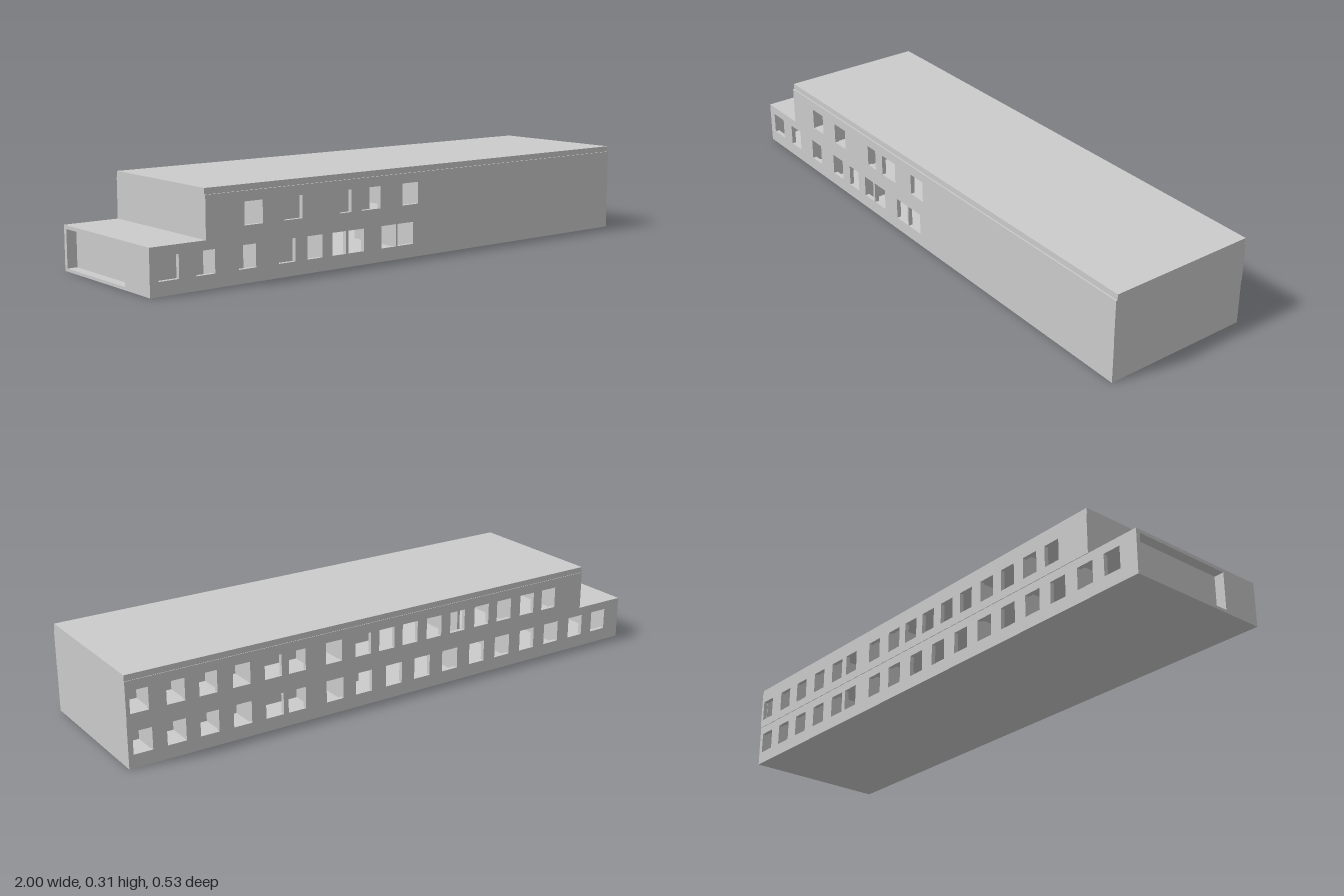
import * as THREE from 'three';

const material = new THREE.MeshStandardMaterial({ color: 0xcccccc, flatShading: true });
const T = 0.015; // wall thickness

// Box given by its two corners
function block(group, name, x0, x1, y0, y1, z0, z1) {
  const mesh = new THREE.Mesh(new THREE.BoxGeometry(x1 - x0, y1 - y0, z1 - z0), material);
  mesh.position.set((x0 + x1) / 2, (y0 + y1) / 2, (z0 + z1) / 2);
  mesh.name = name;
  group.add(mesh);
}

// Long wall with a row of window openings, each [x start, x end]
function windowWall(group, name, x0, x1, y0, y1, z, sill, head, windows) {
  const shape = new THREE.Shape();
  shape.moveTo(x0, y0).lineTo(x1, y0).lineTo(x1, y1).lineTo(x0, y1).closePath();
  for (const [a, b] of windows) {
    const hole = new THREE.Path();
    hole.moveTo(a, sill).lineTo(a, head).lineTo(b, head).lineTo(b, sill).closePath();
    shape.holes.push(hole);
  }
  const mesh = new THREE.Mesh(
    new THREE.ExtrudeGeometry(shape, { depth: T, bevelEnabled: false }), material);
  mesh.position.z = z;
  mesh.name = name;
  group.add(mesh);
}

// Equal windows from their starting positions
const row = (starts, width) => starts.map((x) => [x, x + width]);

export function createModel() {
  const building = new THREE.Group();
  building.name = 'building';

  const frontLower = [[-0.97, -0.9], [-0.84, -0.773], [-0.687, -0.623], [-0.537, -0.473],
    [-0.425, -0.366], [-0.324, -0.27], [-0.26, -0.195], [-0.12, -0.056], [-0.05, 0.02]];
  const frontUpper = [[-0.665, -0.597], [-0.515, -0.445], [-0.295, -0.247],
    [-0.205, -0.125], [-0.03, 0.04]];
  const backLower = row([0.918, 0.804, 0.69, 0.573, 0.456, 0.373, 0.228, 0.114, -0.008, -0.125,
    -0.243, -0.361, -0.475, -0.589, -0.703, -0.82, -0.932], 0.065);
  const backUpper = row([0.925, 0.804, 0.693, 0.576, 0.462, 0.373, 0.234, 0.12, 0.025, -0.07,
    -0.17, -0.27, -0.375, -0.475, -0.58, -0.68], 0.062);

  // Lower storey
  const lower = new THREE.Group();
  lower.name = 'lowerStorey';
  building.add(lower);
  block(lower, 'groundSlab', -1, 1, 0, 0.01, -0.261, 0.263);
  windowWall(lower, 'frontWall', -1, 1, 0.01, 0.138, 0.263 - T, 0.045, 0.12, frontLower);
  windowWall(lower, 'backWall', -1, 1, 0.01, 0.138, -0.261, 0.045, 0.12, backLower);
  block(lower, 'leftEndWall', 1 - T, 1, 0.01, 0.138, -0.261 + T, 0.263 - T);
  block(lower, 'rightEndWall', -1, -1 + T, 0.01, 0.138, 0.12, 0.263 - T);
  block(lower, 'recessedEndWall', -0.965, -0.955, 0.01, 0.138, -0.261 + T, 0.12);
  block(lower, 'frontRoomWall', -1, -0.25, 0.01, 0.138, 0.12, 0.13);
  block(lower, 'backRoomWall', 0.06, 1 - T, 0.01, 0.138, -0.1, -0.09);
  block(lower, 'lobbyWall', 0.06, 0.07, 0.01, 0.138, -0.09, 0.263 - T);
  block(building, 'upperFloorSlab', -1, 1, 0.138, 0.15, -0.261, 0.263);

  // Upper storey
  const upper = new THREE.Group();
  upper.name = 'upperStorey';
  building.add(upper);
  windowWall(upper, 'frontWall', -0.805, 1, 0.15, 0.287, 0.264 - T, 0.18, 0.254, frontUpper);
  windowWall(upper, 'backWall', -0.805, 1, 0.15, 0.287, -0.263, 0.18, 0.254, backUpper);
  block(upper, 'leftEndWall', 1 - T, 1, 0.15, 0.287, -0.263 + T, 0.264 - T);
  block(upper, 'rightEndWall', -0.805, -0.805 + T, 0.15, 0.287, -0.263 + T, 0.264 - T);
  block(upper, 'frontRoomWall', -0.79, -0.06, 0.15, 0.287, 0.12, 0.13);
  block(upper, 'backRoomWall', -0.008, 1 - T, 0.15, 0.287, -0.1, -0.09);
  block(upper, 'lobbyWall', 0.06, 0.07, 0.15, 0.287, -0.09, 0.264 - T);
  block(building, 'roofSlab', -0.805, 1, 0.287, 0.307, -0.261, 0.259);

  // Cross walls between the back rooms
  for (const x of [0.88, 0.76, 0.64, 0.53, 0.3, 0.185]) {
    block(lower, 'backPartition', x, x + 0.01, 0.01, 0.138, -0.261 + T, -0.1);
    block(upper, 'backPartition', x, x + 0.01, 0.15, 0.287, -0.263 + T, -0.1);
  }
  for (const x of [-0.28, -0.52, -0.75]) {
    block(lower, 'rearHallPartition', x, x + 0.01, 0.01, 0.138, -0.261 + T, 0.12);
    block(upper, 'rearHallPartition', x + 0.02, x + 0.03, 0.15, 0.287, -0.263 + T, 0.12);
  }
  // Cross walls between the front rooms
  for (const x of [-0.73, -0.58, -0.35]) {
    block(lower, 'frontPartition', x, x + 0.01, 0.01, 0.138, 0.13, 0.263 - T);
    block(upper, 'frontPartition', x, x + 0.01, 0.15, 0.287, 0.13, 0.264 - T);
  }
  return building;
}
